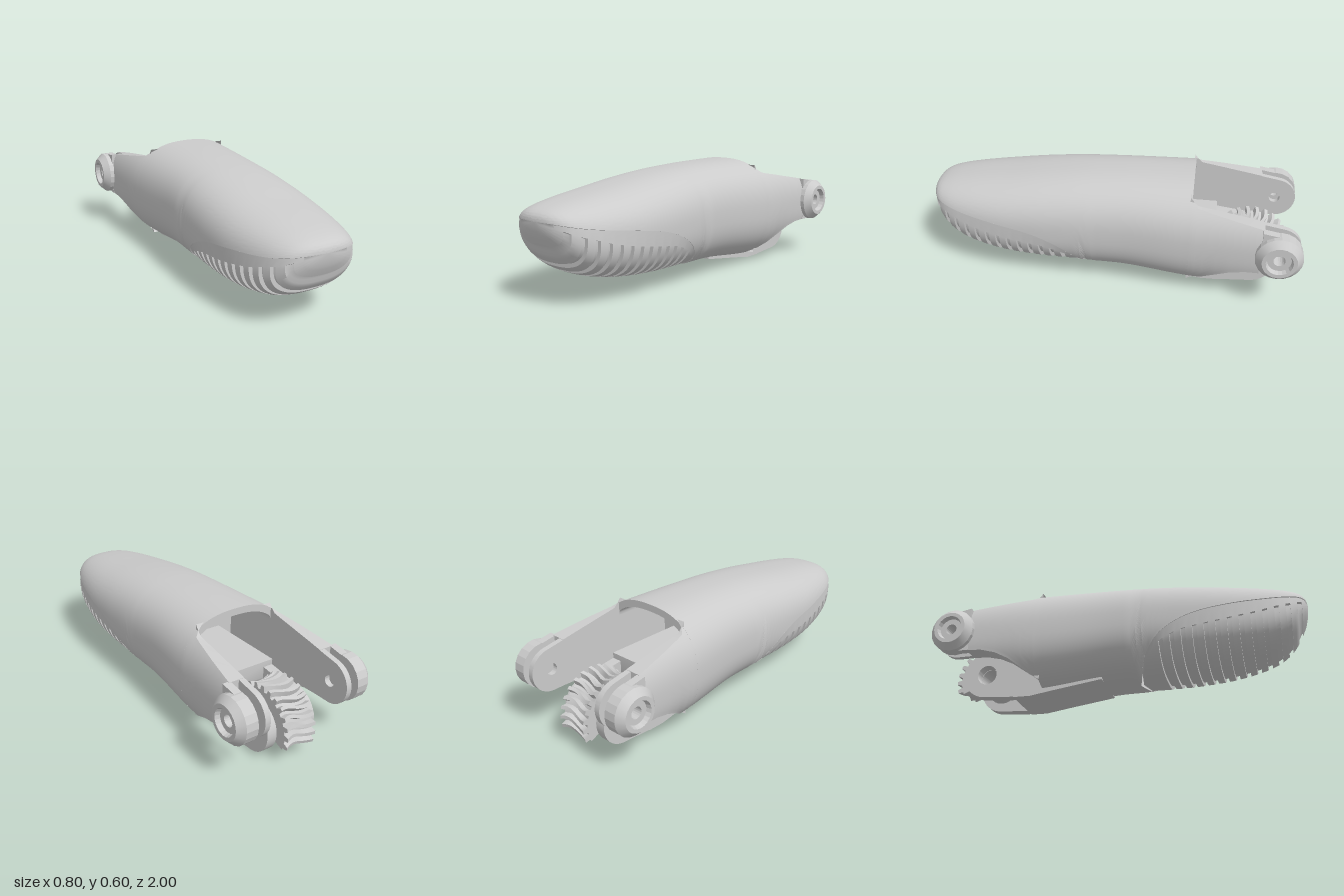
import * as THREE from 'three';
import { toCreasedNormals } from 'three/addons/utils/BufferGeometryUtils.js';

const material = new THREE.MeshStandardMaterial({ color: 0xcccccc, side: THREE.DoubleSide });
const V = (x, y, z) => new THREE.Vector3(x, y, z);

function add(parent, name, geometry, crease = 0.6) {
  const mesh = new THREE.Mesh(toCreasedNormals(geometry, crease), material);
  mesh.name = name;
  parent.add(mesh);
  return mesh;
}

// Skin between rows of points
function loft(rows) {
  const n = rows[0].length, index = [];
  for (let i = 0; i < rows.length - 1; i++) {
    for (let j = 0; j < n - 1; j++) {
      const a = i * n + j, b = a + 1, c = b + n, d = a + n;
      index.push(a, b, d, b, c, d);
    }
  }
  const geometry = new THREE.BufferGeometry().setFromPoints(rows.flat());
  geometry.setIndex(index);
  return geometry;
}

// Side profile (u = -z, y) extruded from x0 to x1
function slab(shape, x0, x1) {
  const geometry = new THREE.ExtrudeGeometry(shape, { depth: x1 - x0, bevelEnabled: false, curveSegments: 20 });
  return geometry.rotateY(Math.PI / 2).translate(x0, 0, 0);
}

// Body stations: z, half width, top, bottom, height of the pad seam
const stations = [
  [1, 0, 0.415, 0.415, 0.415], [0.99, 0.095, 0.445, 0.35, 0.415], [0.96, 0.165, 0.466, 0.285, 0.408],
  [0.9, 0.217, 0.484, 0.2, 0.395], [0.8, 0.256, 0.502, 0.135, 0.378], [0.6, 0.294, 0.53, 0.085, 0.35],
  [0.4, 0.306, 0.558, 0.065, 0.31], [0.25, 0.307, 0.575, 0.06, 0.235], [0.16, 0.306, 0.583, 0.06, 0.14],
  [0.1, 0.305, 0.587, 0.06, 0.055], [-0.1, 0.306, 0.596, 0.055, 0], [-0.43, 0.328, 0.6, 0.022, -0.1],
  [-0.8, 0.345, 0.6, 0.01, -0.1],
];
const key = (z) => Math.sqrt(Math.max(0, 1 - z));

// Smooth interpolation of the stations
function sectionAt(z) {
  const q = key(z), last = stations.length - 1;
  let i = 0;
  while (i < last - 1 && q > key(stations[i + 1][0])) i++;
  const q0 = key(stations[i][0]), q1 = key(stations[i + 1][0]), d = q1 - q0;
  const t = (q - q0) / d, t2 = t * t, t3 = t2 * t;
  const slope = (k, c) => {
    const a = stations[Math.max(0, k - 1)], b = stations[Math.min(last, k + 1)];
    return (b[c] - a[c]) / (key(b[0]) - key(a[0]));
  };
  const [w, top, bottom, seam] = [1, 2, 3, 4].map((c) =>
    (2 * t3 - 3 * t2 + 1) * stations[i][c] + (t3 - 2 * t2 + t) * d * slope(i, c) +
    (3 * t2 - 2 * t3) * stations[i + 1][c] + (t3 - t2) * d * slope(i + 1, c));
  return { w, cy: (top + bottom) / 2, h: (top - bottom) / 2, seam };
}

// Rounded-rectangle section point, and the angle at a given height
const POWER = 2.5;
const bend = (s, p) => Math.sign(s) * Math.abs(s) ** p;
function sectionPoint(s, angle, z, inset = 0) {
  return V(Math.max(0, s.w - inset) * bend(Math.cos(angle), 2 / POWER),
    s.cy + Math.max(0, s.h - inset) * bend(Math.sin(angle), 2 / POWER), z);
}
function angleAt(s, y) {
  const v = s.h < 1e-4 ? 0 : THREE.MathUtils.clamp((y - s.cy) / s.h, -1, 1);
  return Math.asin(bend(v, POWER / 2));
}

// Upper shell with its hollow rear end
function shellGeometry() {
  const rows = [], rear = -0.43, depth = -0.1, N = 72;
  for (let k = 0; k <= 70; k++) {
    const q = key(rear) * (1 - k / 70), z = 1 - q * q, s = sectionAt(z);
    const start = z < 0.1 ? -Math.PI / 2 : angleAt(s, s.seam);
    rows.push(Array.from({ length: N + 1 }, (_, j) =>
      sectionPoint(s, start + (Math.PI - 2 * start) * j / N, z)));
  }
  const cy = sectionAt(rear).cy;
  const inner = (z) => rows[0].map((p) =>
    V(THREE.MathUtils.clamp(p.x * 0.9, -0.23, 0.23), cy + (p.y - cy) * 0.87, z));
  const end = inner(depth);
  return loft([end.map(() => V(0, cy, depth)), end, inner(rear), ...rows]);
}

// Grip pad with cross grooves
function padGeometry() {
  const rings = [];
  for (let z = 0.1; z < 0.225; z += 0.02) rings.push([z, false]);
  for (let k = 0; k < 13; k++) {
    const z = 0.244 + 0.059 * k;
    rings.push([z - 0.012, false], [z - 0.012, true], [z + 0.012, true], [z + 0.012, false], [z + 0.03, false]);
  }
  for (const z of [0.988, 0.994, 0.998, 1]) rings.push([z, false]);
  const columns = [[-1, 0], [-1, 0.005], [-0.87, 0.005]];
  for (let j = 0; j <= 44; j++) columns.push([-0.87 + 1.74 * j / 44, 0.024]);
  columns.push([0.87, 0.005], [1, 0.005], [1, 0]);
  return loft(rings.map(([z, groove]) => {
    const s = sectionAt(z), half = Math.PI / 2 + angleAt(s, s.seam);
    return columns.map(([v, inset]) =>
      sectionPoint(s, 1.5 * Math.PI + v * half, z, groove ? inset : Math.min(inset, 0.005)));
  }));
}

// Side arm: flat inside, following the body outside; z, lower edge, upper edge
function armGeometry() {
  const edges = [[-0.8, 0.215, 0.463], [-0.72, 0.212, 0.478], [-0.64, 0.192, 0.492], [-0.57, 0.158, 0.505],
    [-0.5, 0.108, 0.517], [-0.46, 0.08, 0.525], [-0.44, 0.068, 0.545], [-0.42, 0.055, 0.57]];
  const rows = edges.map(([z, low, high]) => {
    const s = sectionAt(z), a = angleAt(s, low), b = angleAt(s, high);
    const row = Array.from({ length: 17 }, (_, j) => sectionPoint(s, a + (b - a) * j / 16, z));
    row.push(V(0.23, high, z), V(0.23, low, z), row[0].clone());
    return row;
  });
  const cap = rows[0].map(() => V(0.28, 0.34, -0.8));
  return loft([cap, ...rows]);
}

const PIVOT = { u: 0.88, y: 0.33 };
function lugShape() {
  const shape = new THREE.Shape();
  shape.moveTo(0.79, 0.215).lineTo(PIVOT.u, 0.215);
  shape.absarc(PIVOT.u, PIVOT.y, 0.115, -Math.PI / 2, 1.4, false);
  shape.lineTo(0.79, 0.463);
  shape.holes.push(new THREE.Path().absarc(PIVOT.u, PIVOT.y, 0.03, 0, Math.PI * 2, true));
  return shape;
}

// Chamfered, recessed pivot cap
function hubGeometry() {
  const profile = [[0.03, 0.3], [0.12, 0.3], [0.12, 0.365], [0.088, 0.4], [0.068, 0.4],
    [0.06, 0.375], [0.03, 0.375], [0.03, 0.3]].map(([r, x]) => new THREE.Vector2(r, x));
  return new THREE.LatheGeometry(profile, 20).rotateZ(-Math.PI / 2).translate(0, PIVOT.y, -PIVOT.u);
}

const GEAR = { u: 0.755, y: 0.145, hole: 0.055 };

// Throated gear sector with slanted teeth
function gearGeometry() {
  const teeth = 15, start = -0.4, step = 0.25, half = 0.085;
  const outline = [];
  for (let k = 0; k < teeth; k++) {
    for (const [f, r] of [[0, 0.178], [0.3, 0.178], [0.42, 0.205], [0.78, 0.205], [0.95, 0.178]])
      outline.push([start + (k + f) * step, r]);
  }
  const end = start + teeth * step;
  for (let j = 0; j <= 12; j++) outline.push([end + (start + Math.PI * 2 - end) * j / 12, 0.085]);
  outline.push(outline[0]);
  const ring = (x, radius) => outline.map(([angle, r]) => {
    const e = x / half, rr = radius ?? (r > 0.1 ? r - 0.018 * (1 - e * e) : r);
    const a = angle + (r > 0.1 ? 0.07 * Math.sin(e * 2.5) : 0);
    return V(x, GEAR.y + rr * Math.sin(a), -GEAR.u - rr * Math.cos(a));
  });
  const rows = Array.from({ length: 11 }, (_, i) => ring(half * (i / 5 - 1)));
  return loft([ring(-half, GEAR.hole), ...rows, ring(half, GEAR.hole), ring(-half, GEAR.hole)]);
}

// Cheek plates either side of the gear
function cheekShape() {
  const shape = new THREE.Shape();
  shape.moveTo(0.36, 0.022).lineTo(0.5, 0).lineTo(0.56, 0.001).lineTo(GEAR.u, 0.015);
  shape.absarc(GEAR.u, GEAR.y, 0.13, -Math.PI / 2, Math.PI / 2, false);
  shape.lineTo(0.56, 0.3).lineTo(0.36, 0.3);
  shape.holes.push(new THREE.Path().absarc(GEAR.u, GEAR.y, GEAR.hole, 0, Math.PI * 2, true));
  return shape;
}

// Solid block hollowed around the gear
function blockShape() {
  const shape = new THREE.Shape();
  shape.moveTo(0.1, 0.06).lineTo(0.36, 0.022).lineTo(0.5, 0).lineTo(0.591, 0.001);
  shape.absarc(GEAR.u, GEAR.y, 0.216, Math.PI + 0.73, Math.PI - 0.45, true);
  shape.lineTo(0.56, 0.33).lineTo(0.1, 0.33);
  return shape;
}

export function createModel() {
  const model = new THREE.Group();
  model.name = 'fingertip';
  add(model, 'shell', shellGeometry(), 0.7);
  add(model, 'gripPad', padGeometry(), 0.7);
  add(model, 'gear', gearGeometry(), 0.4);
  add(model, 'gearBlock', slab(blockShape(), -0.145, 0.145));

  for (const side of [1, -1]) {
    const group = new THREE.Group();
    group.name = side > 0 ? 'leftHinge' : 'rightHinge';
    group.scale.x = side;
    add(group, 'arm', armGeometry());
    add(group, 'innerLug', slab(lugShape(), 0.23, 0.26));
    add(group, 'outerLug', slab(lugShape(), 0.3, 0.342));
    add(group, 'pivotCap', hubGeometry(), 0.25);
    add(group, 'gearCheek', slab(cheekShape(), 0.09, 0.145));
    model.add(group);
  }
  return model;
}
